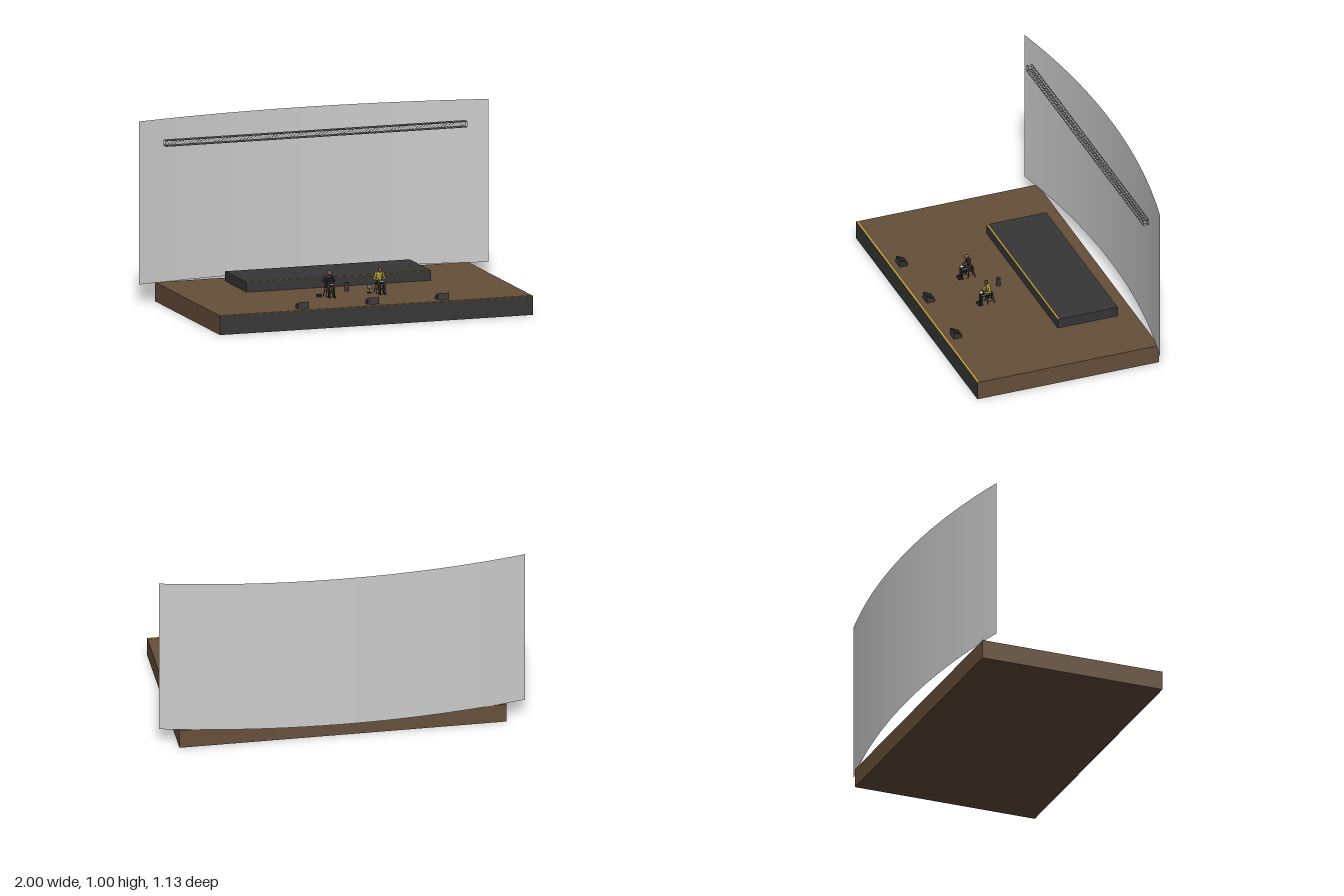
import * as THREE from 'three';

const mat = (name, color, side = THREE.FrontSide) => {
  const m = new THREE.MeshStandardMaterial({ color, side });
  m.name = name;
  return m;
};

export function createModel() {
  const M = {
    wood: mat('stage brown', 0x664f3a),
    dark: mat('charcoal', 0x363636),
    black: mat('soft black', 0x222224),
    gold: mat('edge gold', 0xd2ac38),
    screen: mat('screen grey', 0xcccccc, THREE.DoubleSide),
    metal: mat('truss metal', 0x9a9a9a),
    shirt: mat('yellow shirt', 0xb9a53a),
    skin: mat('skin brown', 0x6e4632),
    pale: mat('paper white', 0xe0e0dc),
  };
  const root = new THREE.Group();
  root.name = 'concertStage';

  const add = (parent, name, geo, material, x = 0, y = 0, z = 0) => {
    const mesh = new THREE.Mesh(geo, material);
    mesh.name = name;
    mesh.position.set(x, y, z);
    parent.add(mesh);
    return mesh;
  };
  const box = (parent, name, material, w, h, d, x, y, z) =>
    add(parent, name, new THREE.BoxGeometry(w, h, d), material, x, y, z);
  // Tapered round bar between two points
  const rod = (parent, name, material, a, b, r0, r1 = r0, sides = 6) => {
    const p = new THREE.Vector3(...a), q = new THREE.Vector3(...b);
    const dir = q.clone().sub(p);
    const mesh = add(parent, name, new THREE.CylinderGeometry(r1, r0, dir.length(), sides), material);
    mesh.position.copy(p).add(q).multiplyScalar(0.5);
    mesh.quaternion.setFromUnitVectors(new THREE.Vector3(0, 1, 0), dir.normalize());
    return mesh;
  };
  const ball = (parent, name, material, r, x, y, z, sy = 1) => {
    const mesh = add(parent, name, new THREE.SphereGeometry(r, 12, 8), material, x, y, z);
    mesh.scale.y = sy;
    return mesh;
  };

  // Stage deck with dark fascia and gold edge
  const F = 0.105;
  box(root, 'stageDeck', M.wood, 1.79, F, 1.048, 0, F / 2, 0.036);
  box(root, 'stageFascia', M.dark, 1.79, F, 0.004, 0, F / 2, 0.562);
  box(root, 'stageEdge', M.gold, 1.79, 0.002, 0.009, 0, F + 0.001, 0.5595);

  // Riser
  box(root, 'riser', M.dark, 1.056, 0.054, 0.348, 0, F + 0.027, -0.22);
  box(root, 'riserEdge', M.gold, 1.056, 0.002, 0.008, 0, F + 0.055, -0.05);

  // Curved backdrop, hollow side to the front
  const screenH = 1 - F, R = 4.6, half = Math.asin(1 / R);
  const screen = new THREE.CylinderGeometry(R, R, screenH, 32, 1, true, Math.PI - half, half * 2);
  add(root, 'backdropScreen', screen, M.screen, 0, F + screenH / 2, R - 0.562);

  // Lighting truss: four chords with lattice bracing on each side
  const truss = new THREE.Group();
  truss.name = 'lightingTruss';
  root.add(truss);
  const Y = [0.862, 0.892], Z = [-0.442, -0.411], X0 = -0.862, bays = 48, step = 1.724 / bays;
  for (const y of Y) for (const z of Z) rod(truss, 'chord', M.metal, [X0, y, z], [-X0, y, z], 0.0028);
  for (let i = 0; i < bays; i++) {
    const a = X0 + i * step, b = a + step;
    for (const z of Z) rod(truss, 'sideBrace', M.metal, [a, Y[0], z], [b, Y[1], z], 0.0014, 0.0014, 4);
    for (const y of Y) rod(truss, 'crossBrace', M.metal, [a, y, Z[1]], [b, y, Z[0]], 0.0014, 0.0014, 4);
  }
  for (const x of [X0, -X0]) {
    for (const z of Z) rod(truss, 'endPost', M.metal, [x, Y[0], z], [x, Y[1], z], 0.0016);
    for (const y of Y) rod(truss, 'endBar', M.metal, [x, y, Z[0]], [x, y, Z[1]], 0.0016);
  }

  // Wedge floor monitors, sloping faces toward the performers
  const wedge = new THREE.Shape([[-0.518, 0], [-0.47, 0], [-0.47, 0.017], [-0.515, 0.037]]
    .map(p => new THREE.Vector2(...p)));
  for (const x of [-0.4, 0, 0.4]) {
    const g = new THREE.ExtrudeGeometry(wedge, { depth: 0.062, bevelEnabled: false });
    g.translate(0, 0, -0.031).rotateY(Math.PI / 2);
    add(root, 'floorMonitor', g, M.dark, x, F, 0);
    const grille = box(root, 'monitorGrille', M.black, 0.05, 0.002, 0.038, x, F + 0.0275, 0.4925);
    grille.rotation.x = -Math.atan2(0.02, 0.045);
  }

  // Small round table between the performers
  add(root, 'sideTable', new THREE.CylinderGeometry(0.012, 0.012, 0.046, 12), M.dark, -0.003, F + 0.023, 0.09);

  // Seated performer on a bar stool; origin at floor level under the seat
  function performer(name, x, top, hair) {
    const g = new THREE.Group();
    g.name = name;
    g.position.set(x, F, 0.2);
    root.add(g);
    // Stool
    add(g, 'stoolSeat', new THREE.CylinderGeometry(0.021, 0.02, 0.005, 16), M.black, 0, 0.05, -0.003);
    for (const sx of [-1, 1]) for (const sz of [-1, 1]) {
      rod(g, 'stoolLeg', M.black, [sx * 0.02, 0, sz * 0.021 - 0.003], [sx * 0.012, 0.049, sz * 0.012 - 0.003], 0.002);
    }
    const ring = add(g, 'stoolRing', new THREE.TorusGeometry(0.021, 0.0013, 5, 16), M.black, 0, 0.018, -0.003);
    ring.rotation.x = Math.PI / 2;
    // Body
    ball(g, 'hips', M.black, 0.017, 0, 0.06, 0, 0.7);
    const torso = rod(g, 'torso', top, [0, 0.06, 0], [0, 0.108, 0.008], 0.0135, 0.019, 12);
    torso.scale.z = 0.65;
    const chest = ball(g, 'shoulders', top, 0.02, 0, 0.107, 0.008, 0.42);
    chest.scale.z = 0.6;
    rod(g, 'neck', M.skin, [0, 0.108, 0.01], [0, 0.122, 0.016], 0.005, 0.005, 8);
    ball(g, 'head', M.skin, 0.0105, 0, 0.126, 0.02, 1.25);
    ball(g, 'hair', hair, 0.0112, 0, 0.13, 0.0175, 1.05);
    // Limbs
    for (const s of [-1, 1]) {
      const knee = [s * 0.014, 0.058, 0.046], foot = [s * 0.014, 0.008, 0.05];
      rod(g, 'thigh', M.black, [s * 0.009, 0.061, 0.002], knee, 0.0095, 0.0075, 8);
      ball(g, 'knee', M.black, 0.0078, ...knee);
      rod(g, 'shin', M.black, knee, foot, 0.0072, 0.005, 8);
      box(g, 'shoe', M.black, 0.01, 0.008, 0.026, s * 0.014, 0.004, 0.057);
      const elbow = [s * 0.03, 0.081, 0.006], hand = [s * 0.013, 0.075, 0.036];
      ball(g, 'shoulder', top, 0.0078, s * 0.019, 0.107, 0.008);
      rod(g, 'upperArm', top, [s * 0.019, 0.107, 0.008], elbow, 0.007, 0.006, 8);
      ball(g, 'elbow', top, 0.006, ...elbow);
      rod(g, 'forearm', top, elbow, hand, 0.0058, 0.0045, 8);
      ball(g, 'hand', M.skin, 0.0052, ...hand);
    }
    const sheet = box(g, 'lapSheet', M.pale, 0.024, 0.0015, 0.014, 0, 0.07, 0.046);
    sheet.rotation.x = 0.3;
    return g;
  }
  const rightSeat = performer('rightPerformer', -0.147, M.black, M.skin);
  const leftSeat = performer('leftPerformer', 0.142, M.shirt, M.black);

  // Floor pedal beside one performer, small stand beside the other
  box(rightSeat, 'floorPedal', M.black, 0.024, 0.014, 0.018, -0.055, 0.007, 0.008);
  rod(leftSeat, 'standPole', M.black, [-0.05, 0, -0.008], [-0.05, 0.035, -0.008], 0.002);
  box(leftSeat, 'standFoot', M.black, 0.022, 0.003, 0.018, -0.05, 0.0015, -0.008);
  const desk = box(leftSeat, 'standDesk', M.black, 0.026, 0.024, 0.003, -0.05, 0.035, -0.008);
  desk.rotation.x = -0.6;

  return root;
}
